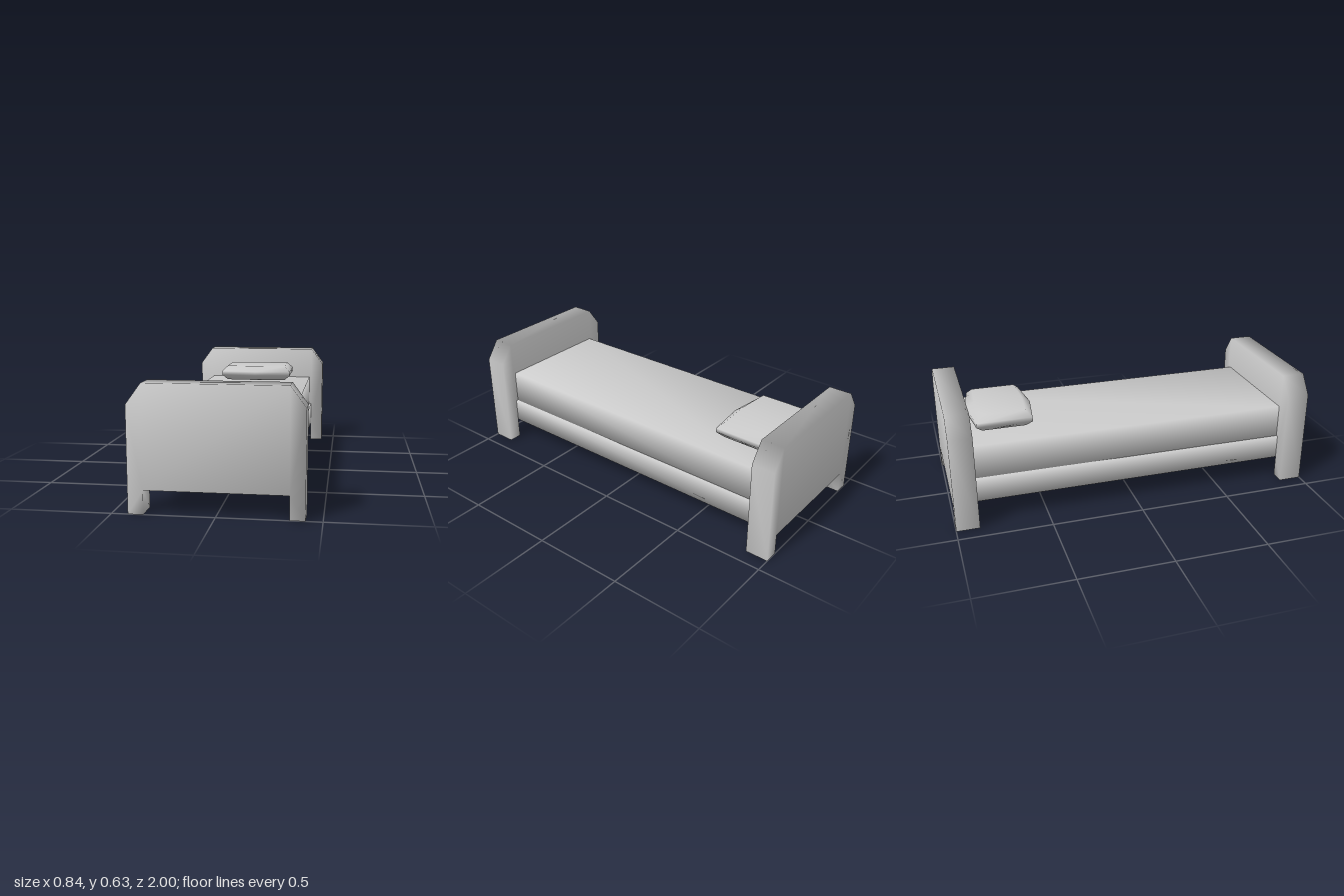
import * as THREE from 'three';

const material = new THREE.MeshStandardMaterial({ color: 0xcccccc });

// Skin a stack of counter-clockwise outlines rising along z; caps list the end polygons.
function loft(layers, caps) {
  const n = layers[0].outline.length;
  const last = (layers.length - 1) * n;
  const positions = layers.flatMap(({ outline, z }) => outline.flatMap(([x, y]) => [x, y, z]));
  const index = [];
  for (let k = 0; k < last; k += n) {
    for (let i = 0; i < n; i++) {
      const j = (i + 1) % n;
      index.push(k + i, k + j, k + n + j, k + i, k + n + j, k + n + i);
    }
  }
  for (const cap of caps) {
    for (let i = 1; i < cap.length - 1; i++) {
      const [a, b, c] = [cap[0], cap[i], cap[i + 1]];
      index.push(last + a, last + b, last + c, a, c, b);
    }
  }
  const geometry = new THREE.BufferGeometry();
  geometry.setAttribute('position', new THREE.Float32BufferAttribute(positions, 3));
  geometry.setIndex(index);
  geometry.computeVertexNormals(); // shared corners give soft shading
  return geometry;
}

// Box with soft shading across its edges.
function softBox(halfWidth, bottom, top, halfLength) {
  const outline = [[-halfWidth, bottom], [halfWidth, bottom], [halfWidth, top], [-halfWidth, top]];
  return loft([{ outline, z: -halfLength }, { outline, z: halfLength }], [[0, 1, 2, 3]]);
}

// End board with two legs and clipped upper corners.
function boardGeometry() {
  const outline = [
    [-0.42, 0], [-0.345, 0], [-0.345, 0.118], [0.345, 0.118], [0.345, 0],
    [0.42, 0], [0.42, 0.525], [0.345, 0.627], [-0.345, 0.627], [-0.42, 0.525],
  ];
  const caps = [[0, 1, 2, 9], [9, 2, 8], [2, 3, 7, 8], [3, 4, 5, 6], [3, 6, 7]];
  return loft([{ outline, z: -0.0625 }, { outline, z: 0.0625 }], caps);
}

// Six-sided cushion, pinched in at top and bottom.
function pillowGeometry() {
  const ring = (x, yCorner, yMiddle) => [
    [-x, -yCorner], [0, -yMiddle], [x, -yCorner], [x, yCorner], [0, yMiddle], [-x, yCorner],
  ];
  const inner = ring(0.187, 0.118, 0.132);
  const outer = ring(0.22, 0.15, 0.177);
  const layers = [
    { outline: inner, z: 0 }, { outline: outer, z: 0.033 },
    { outline: outer, z: 0.057 }, { outline: inner, z: 0.09 },
  ];
  return loft(layers, [[0, 1, 4, 5], [1, 2, 3, 4]]).rotateX(-Math.PI / 2);
}

export function createModel() {
  const model = new THREE.Group();
  model.name = 'bed';
  const add = (name, geometry, y = 0, z = 0) => {
    const mesh = new THREE.Mesh(geometry, material);
    mesh.name = name;
    mesh.position.set(0, y, z);
    model.add(mesh);
  };

  const board = boardGeometry();
  add('footboard', board, 0, 0.9375);
  add('headboard', board, 0, -0.9375);
  add('bedFrame', softBox(0.345, 0.118, 0.25, 0.876));
  add('mattress', softBox(0.332, 0.24, 0.435, 0.876));
  add('pillow', pillowGeometry(), 0.45, -0.682);
  return model;
}
